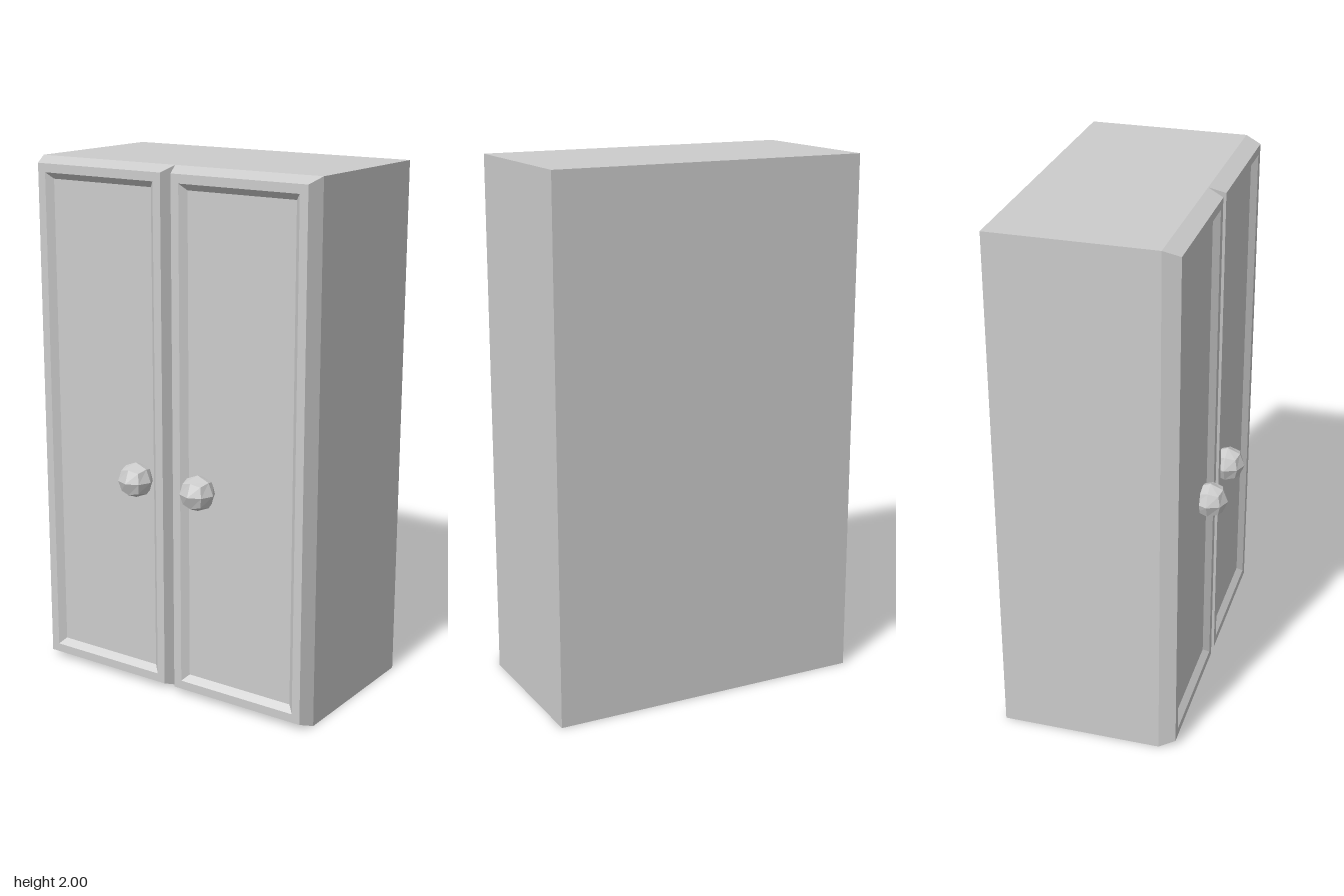
import * as THREE from 'three';

const W = 0.607, H = 2, BACK = -0.375, SEAM = 0.235, FRONT = 0.295, PANEL = 0.273;

const material = new THREE.MeshStandardMaterial({ color: 0xcccccc, flatShading: true });

function add(parent, name, geometry, x = 0, y = 0, z = 0) {
  const mesh = new THREE.Mesh(geometry, material);
  mesh.name = name;
  mesh.position.set(x, y, z);
  parent.add(mesh);
  return mesh;
}

// Nested rectangles [inset, z] joined into a panelled door face, closed by the last rectangle
function panelGeometry(width, height, rings) {
  const positions = [], index = [];
  for (const [inset, z] of rings) {
    const x = width / 2 - inset, y = height / 2 - inset;
    positions.push(-x, -y, z, x, -y, z, x, y, z, -x, y, z);
  }
  for (let r = 0; r < rings.length - 1; r++) {
    for (let i = 0; i < 4; i++) {
      const a = r * 4 + i, b = r * 4 + (i + 1) % 4;
      index.push(a, b, b + 4, a, b + 4, a + 4);
    }
  }
  const c = (rings.length - 1) * 4;
  index.push(c, c + 1, c + 2, c, c + 2, c + 3);
  const geometry = new THREE.BufferGeometry();
  geometry.setAttribute('position', new THREE.Float32BufferAttribute(positions, 3));
  geometry.setIndex(index);
  const flat = geometry.toNonIndexed();
  flat.computeVertexNormals();
  return flat;
}

// Faceted ball: a subdivided cube pushed out to a sphere
function knobGeometry(radius) {
  const geometry = new THREE.BoxGeometry(2, 2, 2, 2, 2, 2);
  const p = geometry.attributes.position, v = new THREE.Vector3();
  for (let i = 0; i < p.count; i++) {
    v.fromBufferAttribute(p, i).setLength(radius);
    p.setXYZ(i, v.x, v.y, v.z);
  }
  geometry.computeVertexNormals();
  return geometry;
}

export function createModel() {
  const group = new THREE.Group();
  group.name = 'cabinet';

  // Carcass
  add(group, 'body', new THREE.BoxGeometry(W * 2, H, SEAM - BACK), 0, H / 2, (SEAM + BACK) / 2);

  // Pair of bevelled doors with recessed panels and knobs
  const doorGeometry = panelGeometry(W, H, [[0, SEAM], [0.023, FRONT], [0.056, FRONT], [0.08, PANEL]]);
  const knob = knobGeometry(0.068);
  for (const [side, s] of [['left', 1], ['right', -1]]) {
    add(group, side + 'Door', doorGeometry, s * W / 2, H / 2, 0);
    add(group, side + 'Knob', knob, s * 0.141, 0.828, 0.303);
  }
  return group;
}
